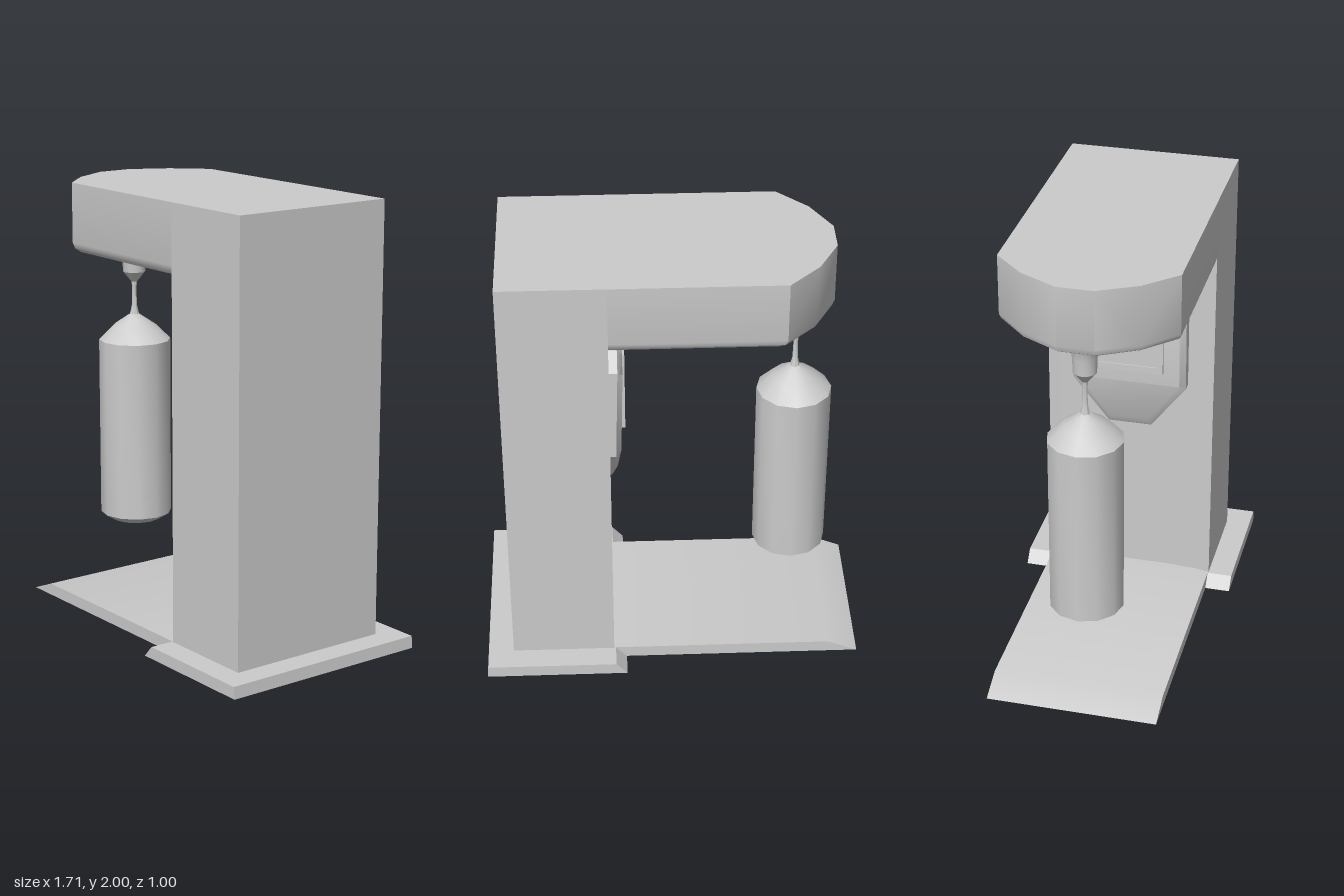
import * as THREE from 'three';
import { toCreasedNormals } from 'three/addons/utils/BufferGeometryUtils.js';
import { ConvexGeometry } from 'three/addons/geometries/ConvexGeometry.js';

const material = new THREE.MeshStandardMaterial({ color: 0xcccccc });

export function createModel() {
  const group = new THREE.Group();

  const add = (name, geometry) => {
    const mesh = new THREE.Mesh(toCreasedNormals(geometry, 0.6), material);
    mesh.name = name;
    group.add(mesh);
    return mesh;
  };
  // Solid block wrapped around [x, y, z] corners
  const hull = (name, corners) =>
    add(name, new ConvexGeometry(corners.map((c) => new THREE.Vector3(...c))));
  // Corners given for +z, repeated on -z
  const mirrorZ = (corners) => corners.flatMap(([x, y, z]) => [[x, y, z], [x, y, -z]]);
  const shapeOf = (points) => new THREE.Shape(points.map((p) => new THREE.Vector2(...p)));

  // Floor plates with sloping front edges
  hull('basePlate', mirrorZ([
    [0.21, 0, 0.5], [0.26, 0.055, 0.5], [0.85, 0, 0.5], [0.845, 0.055, 0.5],
  ]));
  hull('standingRamp', mirrorZ([
    [-0.855, 0, 0.385], [-0.72, 0.055, 0.385], [0.35, 0, 0.385], [0.35, 0.055, 0.385],
  ]));

  // Column with a shallow hollow on the side facing the bag
  const plan = shapeOf([
    [0.73, -0.388], [0.73, 0.388], [0.268, 0.388], [0.282, 0.33],
    [0.293, 0.18], [0.293, -0.18], [0.282, -0.33], [0.268, -0.388],
  ]);
  const column = new THREE.ExtrudeGeometry(plan, { depth: 1.97, bevelEnabled: false });
  column.rotateX(-Math.PI / 2).translate(0, 0.03, 0);
  add('column', column);

  // Overhead arm: rounded nose, softened lower edge
  const armHalf = [[0.31, 0.388], [-0.48, 0.388], [-0.615, 0.25], [-0.705, 0.08]];
  const armLevels = [[2, 0], [1.73, 0], [1.705, 0.01], [1.69, 0.035]];
  hull('arm', mirrorZ(armLevels.flatMap(([y, inset]) =>
    armHalf.map(([x, z], i) => [
      i ? x + inset : x,
      y,
      i < 2 ? z - inset * 0.6 : z * (1 - inset),
    ]))));

  // Shield-shaped panel, thinner toward its lower point
  const shield = [[1.57, 0.19], [1.5, 0.265], [1.06, 0.265], [0.84, 0.1]];
  const lean = (y) => Math.max(0, 1.2 - y) * 0.08;
  const panelLayers = [[0.31, 1], [0.23, 1], [0.208, 0.9]];
  hull('panel', mirrorZ(panelLayers.flatMap(([x, s]) =>
    shield.map(([y, z]) => {
      const py = 1.25 + (y - 1.25) * s;
      return [x === 0.31 ? x : x + lean(py), py, z * s];
    }))));

  // Screen surround and screen
  const rect = (w, h) => [[-w, -h], [w, -h], [w, h], [-w, h]];
  const surround = shapeOf(rect(0.165, 0.19));
  surround.holes.push(new THREE.Path(rect(0.135, 0.16).map((p) => new THREE.Vector2(...p))));
  const frame = new THREE.ExtrudeGeometry(surround, { depth: 0.02, bevelEnabled: false });
  frame.rotateY(-Math.PI / 2).translate(0.218, 1.335, 0);
  add('screenSurround', frame);
  const screen = new THREE.BoxGeometry(0.02, 0.32, 0.27);
  screen.translate(0.214, 1.335, 0);
  add('screen', screen);

  // Turned parts hanging under the nose, [radius, height] from the bottom up
  const turned = (name, profile, sides) => {
    const mesh = add(name, new THREE.LatheGeometry(
      profile.map((p) => new THREE.Vector2(...p)), sides));
    mesh.position.x = -0.555;
  };
  turned('bag', [
    [0, 0.345], [0.06, 0.345], [0.115, 0.36], [0.167, 0.393], [0.167, 1.228],
    [0.1, 1.295], [0.04, 1.335], [0.018, 1.35], [0, 1.355],
  ], 12);
  turned('hangerRod', [
    [0, 1.33], [0.022, 1.345], [0.012, 1.39], [0.01, 1.47], [0.016, 1.52], [0, 1.53],
  ], 8);
  turned('hangerSocket', [
    [0, 1.5], [0.014, 1.5], [0.052, 1.548], [0.055, 1.62], [0.063, 1.67],
    [0.085, 1.695], [0, 1.7],
  ], 12);

  return group;
}
